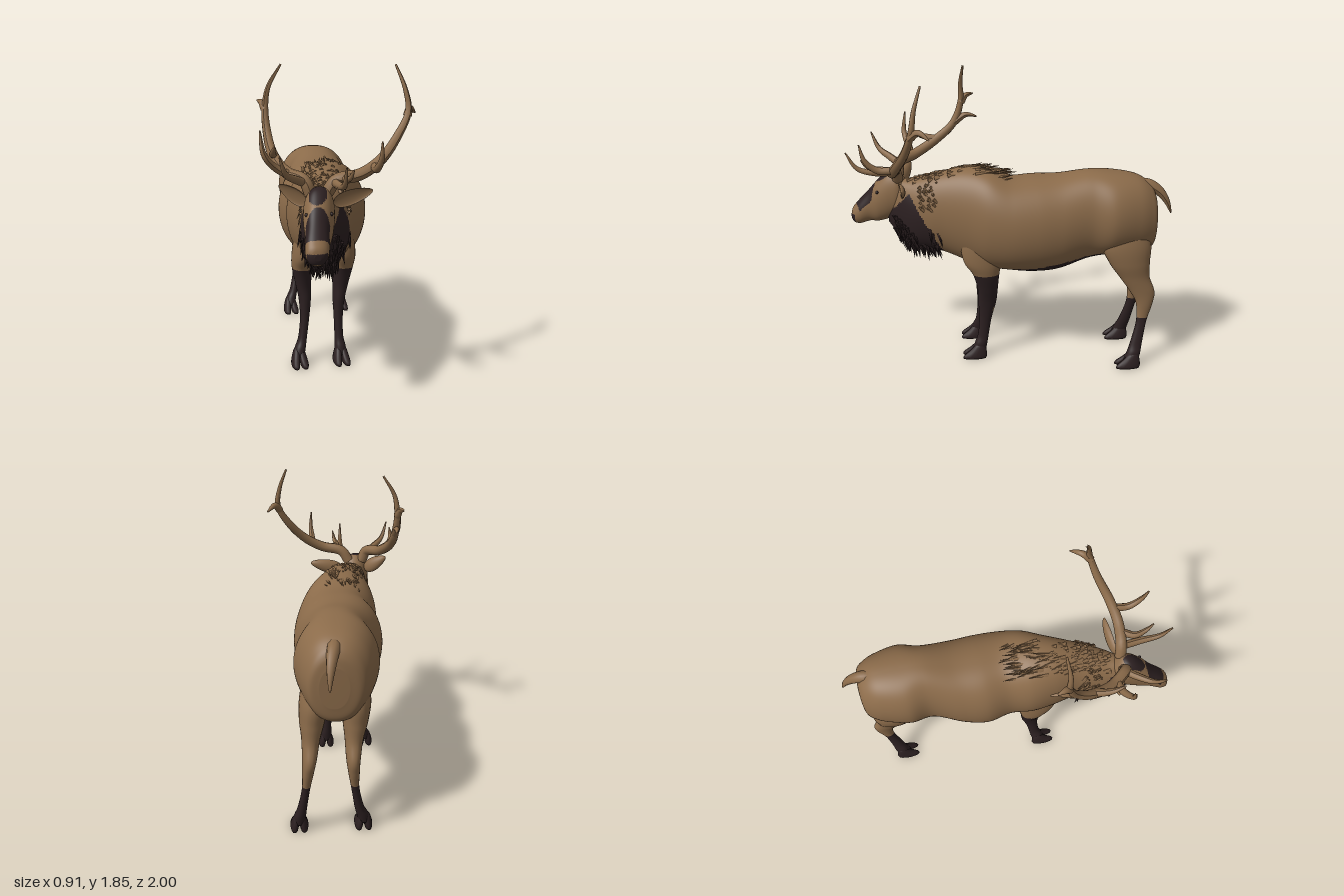
import * as THREE from 'three';
import { mergeGeometries } from 'three/addons/utils/BufferGeometryUtils.js';

const coat = new THREE.MeshStandardMaterial({ color: 0x8b6b4a });
coat.name = 'brown coat';
const dark = new THREE.MeshStandardMaterial({ color: 0x2c2021 });
dark.name = 'dark fur';
const V = (x, y, z) => new THREE.Vector3(x, y, z);

// Smooth surface through sections [t, x0, x1, b0, b1]; t runs along z (b is y) or down y (b is z)
function sampler(sections, axis) {
  const path = (f) => new THREE.CatmullRomCurve3(sections.map(f), false, 'catmullrom', 0.5);
  const p = path((s) => V(s[0], s[1], s[2])), q = path((s) => V(s[3], s[4], 0));
  return (u, a, k = 1) => {
    const m = p.getPoint(u), n = q.getPoint(u), c = Math.cos(a);
    const x = (m.y + m.z) / 2 + (k * Math.sign(c) * Math.abs(c) ** 0.87 * (m.z - m.y)) / 2;
    const b = (n.x + n.y) / 2 + (k * Math.sin(a) * (n.y - n.x)) / 2;
    return axis === 'z' ? V(x, b, m.x) : V(x, m.x, b);
  };
}

// Closed skin over a sampler; paint(centre) says whether a patch is dark
function loft(name, sections, axis, rows, cols, paint = () => 0) {
  const at = sampler(sections, axis), pts = [], faces = [[], []];
  for (let i = 0; i <= rows; i++)
    for (let j = 0; j < cols; j++) pts.push(at(i / rows, (j / cols) * Math.PI * 2));
  const first = pts.push(at(0, 0, 0)) - 1, last = pts.push(at(1, 0, 0)) - 1;
  const face = (a, d, ...corners) => {
    const m = pts[a].clone().add(pts[d]).multiplyScalar(0.5);
    faces[paint(m) ? 1 : 0].push(...corners);
  };
  for (let j = 0; j < cols; j++) {
    const k = (j + 1) % cols, e = rows * cols;
    face(j, k, first, k, j);
    face(e + j, e + k, last, e + j, e + k);
    for (let i = 0; i < rows; i++) {
      const r = i * cols, s = r + cols;
      face(r + j, s + k, r + j, r + k, s + j, r + k, s + k, s + j);
    }
  }
  const g = new THREE.BufferGeometry().setFromPoints(pts);
  g.setIndex([...faces[0], ...faces[1]]);
  g.addGroup(0, faces[0].length, 0);
  g.addGroup(faces[0].length, faces[1].length, 1);
  g.computeVertexNormals();
  const mesh = new THREE.Mesh(g, [coat, dark]);
  mesh.name = name;
  return mesh;
}

// Tube that thins towards its tip
function taper(name, points, r0, r1) {
  const curve = new THREE.CatmullRomCurve3(points.map((p) => V(...p)));
  const rows = points.length * 6, g = new THREE.TubeGeometry(curve, rows, 1, 10), pos = g.attributes.position;
  for (let i = 0; i < pos.count; i++) {
    const u = Math.floor(i / 11) / rows, c = curve.getPointAt(u);
    const p = V().fromBufferAttribute(pos, i).sub(c).multiplyScalar(r0 + (r1 - r0) * u ** 1.8).add(c);
    pos.setXYZ(i, p.x, p.y, p.z);
  }
  g.computeVertexNormals();
  const mesh = new THREE.Mesh(g, coat);
  mesh.name = name;
  return mesh;
}

// Cupped ear from base to tip
function ear(name, base, tip, facing) {
  const g = new THREE.SphereGeometry(1, 20, 14), pos = g.attributes.position;
  const dir = tip.clone().sub(base), len = dir.length();
  dir.normalize();
  for (let i = 0; i < pos.count; i++) {
    const y = pos.getY(i), z = pos.getZ(i);
    pos.setXYZ(i, pos.getX(i) * 0.045 * (1 - 0.3 * y), ((y + 1) * len) / 2, z > 0 ? -z * 0.012 : z * 0.03);
  }
  g.computeVertexNormals();
  const z = facing.clone().addScaledVector(dir, -facing.dot(dir)).normalize();
  const mesh = new THREE.Mesh(g, coat);
  mesh.applyMatrix4(new THREE.Matrix4().makeBasis(dir.clone().cross(z), dir, z).setPosition(base));
  mesh.name = name;
  return mesh;
}

let seed = 7;
const rand = (a, b) => {
  seed = (seed * 16807) % 2147483647;
  return a + ((b - a) * seed) / 2147483647;
};

// Locks of hair rooted on a surface
function locks(name, count, material, root, lean, size, girth) {
  const list = [];
  for (let i = 0; i < count; i++) {
    const len = rand(size * 0.7, size * 1.3);
    const g = new THREE.ConeGeometry(len * girth, len, 5).translate(0, len * 0.35, 0);
    const d = lean.clone().add(V(rand(-0.25, 0.25), rand(-0.12, 0.12), rand(-0.25, 0.25))).normalize();
    g.applyQuaternion(new THREE.Quaternion().setFromUnitVectors(V(0, 1, 0), d));
    const p = root();
    list.push(g.translate(p.x, p.y, p.z));
  }
  const mesh = new THREE.Mesh(mergeGeometries(list), material);
  mesh.name = name;
  return mesh;
}

// Leg from profile rows [y, half width, z0, z1] with a sideways centre for each row
function leg(name, profile, centres, foot, heel, paint) {
  const group = new THREE.Group();
  group.name = name;
  const rows = profile.map(([y, w, a, b], i) => [y, centres[i] - w, centres[i] + w, a, b]);
  group.add(loft('limb', rows, 'y', 90, 28, paint));
  for (const s of [-1, 1]) {
    const toe = [[0.105, 0.01, 0.012, 0.02, 0.05], [0.085, 0.014, 0.02, 0.01, 0.075],
      [0.05, 0.021, 0.024, 0.002, 0.11], [0.018, 0.027, 0.025, 0, 0.15], [0, 0.028, 0.023, 0.005, 0.155]];
    group.add(loft('hoof', toe.map(([y, o, w, a, b]) =>
      [y, foot + s * o - w, foot + s * o + w, heel + a, heel + b]), 'y', 12, 16, () => 1));
  }
  return group;
}

export function createModel() {
  const model = new THREE.Group();

  // Body and neck, curving towards the right at the front
  const body = [
    [-0.897, 0.02, 0.18, 0.84, 1.07], [-0.885, -0.045, 0.23, 0.77, 1.13], [-0.85, -0.085, 0.255, 0.74, 1.18],
    [-0.77, -0.13, 0.285, 0.73, 1.225], [-0.62, -0.17, 0.31, 0.72, 1.25], [-0.48, -0.15, 0.275, 0.69, 1.255],
    [-0.3, -0.21, 0.29, 0.62, 1.225], [-0.15, -0.24, 0.3, 0.605, 1.22], [0, -0.215, 0.29, 0.62, 1.22],
    [0.14, -0.235, 0.25, 0.63, 1.265], [0.27, -0.225, 0.18, 0.66, 1.27], [0.4, -0.205, 0.12, 0.71, 1.24],
    [0.5, -0.215, 0.08, 0.73, 1.21], [0.6, -0.225, 0.03, 0.74, 1.18], [0.69, -0.22, -0.04, 0.79, 1.16],
    [0.76, -0.2, -0.1, 0.88, 1.08]];
  const bodyAt = sampler(body, 'z');
  const throat = (y, z) => z > 0.41 && y < Math.min(0.72 + (z - 0.41) * 1.85, 1.1 - (z - 0.63) * 1.1);
  const belly = (y, z) => z > -0.56 && y < Math.min(0.665 + Math.max(0, -z - 0.1) * 0.2, 0.63 + (0.08 - z) * 0.3);
  model.add(loft('body', body, 'z', 170, 110, ({ y, z }) => throat(y, z) || belly(y, z)));
  model.add(taper('tail', [[0.09, 1.15, -0.74], [0.1, 1.165, -0.84], [0.115, 1.125, -0.915], [0.125, 1.06, -0.965], [0.13, 0.985, -0.995]], 0.042, 0.005));

  // Hair: dark beard below the neck, brown ruff over the withers and nape
  model.add(locks('beard', 150, dark, () => bodyAt(rand(0.76, 0.96), -Math.PI / 2 + rand(-1.3, 1.3), 0.96), V(0, -1, -0.25), 0.1, 0.14));
  model.add(locks('withersRuff', 120, coat, () => bodyAt(rand(0.55, 0.88), Math.PI / 2 + rand(-0.35, 0.6), 0.985), V(0, 0.12, -1), 0.1, 0.11));
  model.add(locks('neckRuff', 70, coat, () => bodyAt(rand(0.76, 0.84), Math.PI / 2 + rand(0.5, 1.4) * (rand(0, 1) < 0.5 ? -1 : 1), 0.98), V(0, -0.7, -0.6), 0.09, 0.1));

  // Head with dark forehead, bridge and nose tip
  const head = [
    [0.63, -0.18, -0.09, 1.03, 1.15], [0.69, -0.225, -0.06, 0.95, 1.215], [0.75, -0.24, -0.068, 0.91, 1.215],
    [0.82, -0.247, -0.09, 0.885, 1.155], [0.88, -0.253, -0.12, 0.88, 1.085], [0.94, -0.265, -0.135, 0.86, 1.02],
    [0.975, -0.262, -0.15, 0.862, 0.98], [0.992, -0.245, -0.17, 0.875, 0.955], [1, -0.225, -0.19, 0.895, 0.925]];
  model.add(loft('head', head, 'z', 130, 80, ({ x, y, z }) => {
    const off = Math.abs(x + 0.15 + (z - 0.7) * 0.2);
    const forehead = Math.hypot((z - 0.76) / 0.068, off / 0.05) < 1 && y > 1.12;
    const bridge = Math.hypot((z - 0.9) / 0.064, off / 0.08) < 1 && y > 1.06 - (z - 0.835) * 0.95;
    return forehead || bridge || (z > 0.976 && y > 0.872 && y < 0.93);
  }));
  for (const s of [-1, 1]) {
    const eye = new THREE.Mesh(new THREE.SphereGeometry(0.01, 14, 10), dark);
    eye.position.set(-0.168 + s * 0.067, 1.095, 0.823);
    eye.name = s < 0 ? 'rightEye' : 'leftEye';
    model.add(eye);
  }
  model.add(ear('leftEar', V(-0.06, 1.12, 0.68), V(0.165, 1.18, 0.66), V(0.3, -0.1, 1)));
  model.add(ear('rightEar', V(-0.21, 1.12, 0.68), V(-0.35, 1.22, 0.62), V(-0.8, -0.1, 0.7)));

  // Antlers: first path is the beam, the rest are tines
  const antlers = {
    leftAntler: [
      [[-0.1, 1.18, 0.69], [-0.05, 1.25, 0.7], [0.08, 1.28, 0.71], [0.2, 1.35, 0.68], [0.31, 1.47, 0.62], [0.38, 1.6, 0.58], [0.365, 1.72, 0.56], [0.32, 1.85, 0.52]],
      [[-0.06, 1.24, 0.7], [-0.05, 1.24, 0.82], [-0.055, 1.27, 0.93], [-0.06, 1.37, 0.995]],
      [[0.02, 1.27, 0.71], [-0.02, 1.27, 0.79], [-0.01, 1.29, 0.86], [0, 1.34, 0.9]],
      [[0.16, 1.32, 0.69], [0.15, 1.32, 0.79], [0.155, 1.38, 0.86], [0.15, 1.48, 0.89]],
      [[0.37, 1.57, 0.59], [0.4, 1.61, 0.54], [0.45, 1.58, 0.48]]],
    rightAntler: [
      [[-0.19, 1.18, 0.69], [-0.22, 1.25, 0.68], [-0.3, 1.28, 0.58], [-0.355, 1.36, 0.44], [-0.37, 1.46, 0.33], [-0.375, 1.6, 0.28], [-0.355, 1.72, 0.28], [-0.28, 1.845, 0.265]],
      [[-0.22, 1.24, 0.68], [-0.28, 1.27, 0.74], [-0.34, 1.31, 0.81], [-0.38, 1.41, 0.86]],
      [[-0.28, 1.27, 0.61], [-0.36, 1.31, 0.62], [-0.43, 1.39, 0.65], [-0.45, 1.52, 0.64]],
      [[-0.35, 1.36, 0.44], [-0.37, 1.38, 0.54], [-0.37, 1.43, 0.62]],
      [[-0.37, 1.46, 0.33], [-0.37, 1.51, 0.25], [-0.36, 1.5, 0.18]],
      [[-0.375, 1.59, 0.28], [-0.39, 1.63, 0.25], [-0.41, 1.64, 0.2]]] };
  for (const [name, paths] of Object.entries(antlers)) {
    const group = new THREE.Group();
    group.name = name;
    paths.forEach((p, i) => group.add(taper(i ? 'tine' : 'beam', p, i ? 0.024 : 0.035, i ? 0.004 : 0.006)));
    model.add(group);
  }

  // Legs, fading into the body at shoulder and thigh
  const front = [
    [1.1, 0.015, 0.16, 0.22], [0.98, 0.04, 0.09, 0.28], [0.83, 0.062, 0.06, 0.315], [0.7, 0.07, 0.06, 0.3],
    [0.61, 0.063, 0.075, 0.245], [0.5, 0.048, 0.085, 0.215], [0.4, 0.037, 0.095, 0.21], [0.28, 0.028, 0.125, 0.205],
    [0.16, 0.027, 0.145, 0.215], [0.1, 0.034, 0.155, 0.235], [0.05, 0.034, 0.165, 0.25]];
  const hind = [
    [1.08, 0.015, -0.72, -0.64], [0.96, 0.055, -0.81, -0.58], [0.82, 0.083, -0.86, -0.55], [0.7, 0.073, -0.857, -0.6],
    [0.6, 0.053, -0.86, -0.67], [0.5, 0.041, -0.895, -0.74], [0.42, 0.033, -0.885, -0.78], [0.3, 0.023, -0.85, -0.785],
    [0.16, 0.027, -0.825, -0.75], [0.1, 0.034, -0.815, -0.73], [0.05, 0.034, -0.805, -0.71]];
  const stocking = ({ y, z }) => y < 0.61 && !(z < 0.12 && y > 0.27 && y < 0.36);
  const sock = ({ y }) => y < 0.33;
  model.add(leg('frontLeftLeg', front, [0.07, 0.08, 0.1, 0.11, 0.11, 0.1, 0.088, 0.083, 0.084, 0.088, 0.09], 0.09, 0.16, stocking));
  model.add(leg('frontRightLeg', front, [-0.12, -0.125, -0.13, -0.14, -0.145, -0.137, -0.128, -0.132, -0.148, -0.165, -0.175], -0.175, 0.16, stocking));
  model.add(leg('hindLeftLeg', hind, [0.18, 0.19, 0.2, 0.215, 0.225, 0.235, 0.245, 0.258, 0.28, 0.293, 0.298], 0.298, -0.81, sock));
  model.add(leg('hindRightLeg', hind, [-0.02, -0.025, -0.03, -0.025, -0.015, -0.008, -0.01, -0.02, -0.045, -0.065, -0.075], -0.075, -0.81, sock));
  return model;
}
